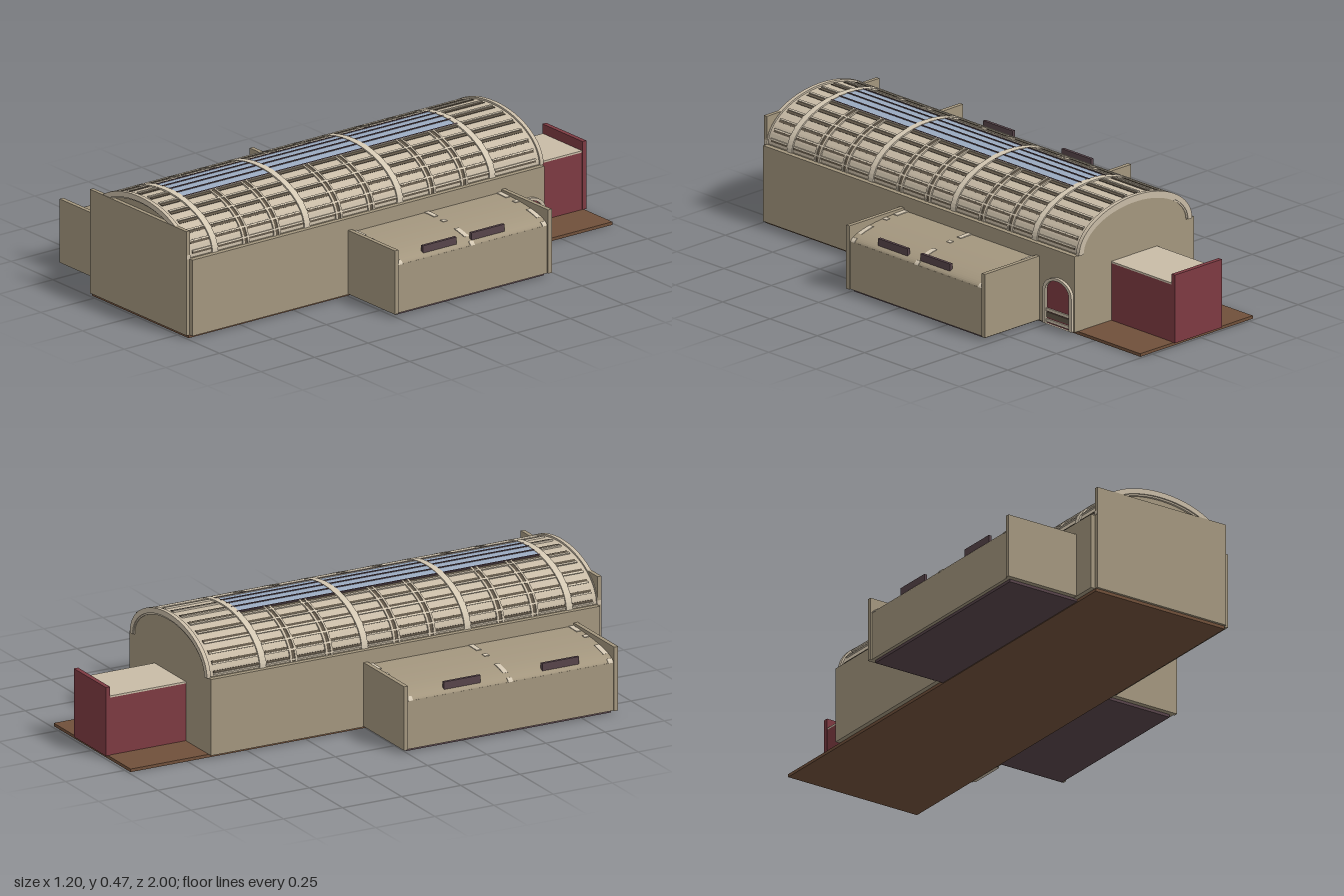
import * as THREE from 'three';

const mat = (name, color) => {
  const m = new THREE.MeshStandardMaterial({ color });
  m.name = name;
  return m;
};

export function createModel() {
  const model = new THREE.Group();
  model.name = 'vaultedHall';
  const tan = mat('tan stone', 0xa3967e);
  const beige = mat('roof beige', 0xc8bba6);
  const light = mat('light rib', 0xd3c7b2);
  const dark = mat('dark slot', 0x5e5446);
  const maroon = mat('maroon', 0x7d3a42);
  const plum = mat('plum', 0x57444a);
  const brown = mat('floor brown', 0x70503a);
  const blue = mat('skylight glass', 0x9aaac0);

  const add = (name, geo, material, parent = model) => {
    const m = new THREE.Mesh(geo, material);
    m.name = name;
    parent.add(m);
    return m;
  };
  // Box given by its low and high corners
  const box = (name, material, x0, x1, y0, y1, z0, z1, parent) => {
    const m = add(name, new THREE.BoxGeometry(Math.abs(x1 - x0), y1 - y0, z1 - z0), material, parent);
    m.position.set((x0 + x1) / 2, (y0 + y1) / 2, (z0 + z1) / 2);
    return m;
  };
  // Elliptical band between angles t0..t1, from offset lo to hi off the curve, along z
  const band = (name, material, e, t0, t1, lo, hi, z0, z1, parent) => {
    const n = Math.max(1, Math.ceil(Math.abs(t1 - t0) / 0.09));
    const pts = [];
    const put = (t, d) => pts.push(new THREE.Vector2(e.x + (e.a + d) * Math.cos(t), e.y + (e.b + d) * Math.sin(t)));
    for (let i = 0; i <= n; i++) put(t0 + (t1 - t0) * i / n, hi);
    for (let i = n; i >= 0; i--) put(t0 + (t1 - t0) * i / n, lo);
    const g = new THREE.ExtrudeGeometry(new THREE.Shape(pts), { depth: z1 - z0, bevelEnabled: false });
    g.translate(0, 0, z0);
    return add(name, g, material, parent);
  };

  // Floor and hall walls
  box('hallFloor', brown, -0.277, 0.302, 0, 0.012, -0.99, 0.99);
  box('hallBody', tan, -0.275, 0.3, 0.012, 0.312, -0.66, 0.985);
  box('sideWallRight', tan, -0.295, -0.27, 0.012, 0.31, -0.66, 0.985);
  box('sideWallLeft', tan, 0.295, 0.32, 0.012, 0.31, -0.66, 0.985);
  box('frontPanel', tan, -0.277, 0.302, 0.012, 0.42, 0.984, 1);

  // Barrel roof
  const roof = new THREE.Group();
  roof.name = 'barrelRoof';
  model.add(roof);
  const E = { x: 0.0125, y: 0.31, a: 0.284, b: 0.158 };
  const PI = Math.PI;
  const vault = new THREE.Shape();
  vault.absellipse(E.x, E.y, E.a - 0.012, E.b - 0.012, 0, PI, false);
  const gableGeo = new THREE.ExtrudeGeometry(vault, { depth: 1.645, bevelEnabled: false, curveSegments: 36 });
  gableGeo.translate(0, 0, -0.662);
  add('gables', gableGeo, tan, roof);
  band('roofShell', beige, E, 0, PI, -0.02, 0, -0.665, 0.992, roof);
  for (const z of [-0.668, 0.982]) band('endRib', beige, E, 0, PI, -0.014, 0.007, z, z + 0.016, roof);

  // Light main ribs, dark cross slots flanked by thin ribs
  const mainZ = [-0.43, 0, 0.435, 0.865];
  for (const z of mainZ) band('mainRib', light, E, 0, PI, -0.003, 0.006, z - 0.013, z + 0.013, roof);
  const half = 0.29;
  const sides = [[0, PI / 2 - half], [PI / 2 + half, PI]];
  for (const z of [-0.3, -0.15, 0.135, 0.285, 0.575, 0.72]) {
    for (const [t0, t1] of sides) {
      band('crossSlot', dark, E, t0, t1, -0.003, 0.003, z - 0.007, z + 0.007, roof);
      for (const d of [-0.011, 0.011]) {
        band('thinRib', beige, E, t0, t1, -0.003, 0.006, z + d - 0.004, z + d + 0.004, roof);
      }
    }
  }

  // Lengthwise slots and battens, broken at the main ribs
  const stops = [-0.652, ...mainZ, 0.982];
  for (let b = 0; b < stops.length - 1; b++) {
    const z0 = stops[b] + 0.015, z1 = stops[b + 1] - 0.015;
    const endBay = b === 0 || b === stops.length - 2;
    for (let k = 0; k < 14; k++) {
      const t = (k + 0.5) * PI / 14;
      if (!endBay && Math.abs(t - PI / 2) < half + 0.03) continue;
      band('lengthSlot', dark, E, t - 0.025, t + 0.025, -0.003, 0.0025, z0, z1, roof);
      band('batten', light, E, t + 0.028, t + 0.06, -0.003, 0.006, z0, z1, roof);
    }
  }

  // Skylights with glazing bars
  for (const [z0, z1] of [[-0.425, -0.013], [0.013, 0.422], [0.45, 0.855]]) {
    band('skylight', blue, E, PI / 2 - half, PI / 2 + half, -0.003, 0.004, z0, z1, roof);
    for (let i = -2; i <= 2; i++) {
      const t = PI / 2 + i * half / 2;
      band('glazingBar', plum, E, t - 0.009, t + 0.009, 0, 0.007, z0, z1, roof);
    }
  }

  // Rear entrance block
  box('entranceBody', maroon, -0.105, 0.13, 0.012, 0.236, -0.985, -0.66);
  box('entranceRoof', beige, -0.105, 0.13, 0.236, 0.243, -0.985, -0.66);
  box('entranceScreen', maroon, -0.108, 0.133, 0.012, 0.28, -1, -0.982);

  // Side wings: s is the side, z0..z1 the length
  const wing = (name, s, inner, z0, z1, windows) => {
    const g = new THREE.Group();
    g.name = name;
    model.add(g);
    box('wingFloor', plum, s * 0.275, s * 0.58, 0.003, 0.016, z0 + 0.02, z1 - 0.02, g);
    box('wingBody', tan, s * (inner - 0.01), s * 0.594, 0.014, 0.202, z0 + 0.008, z1 - 0.008, g);
    for (const z of [z0, z1 - 0.017]) box('endWall', tan, s * (inner - 0.01), s * 0.6, 0.014, 0.264, z, z + 0.017, g);
    const e = { x: s * inner, y: 0.2, a: 0.594 - inner, b: 0.053 };
    const ang = t => (s > 0 ? t : PI - t);
    band('wingRoof', tan, e, ang(0), ang(PI / 2), -0.05, 0, z0 + 0.01, z1 - 0.01, g);
    for (const z of [z0 + 0.03, (z0 + z1) / 2, z1 - 0.03]) {
      for (const [t0, t1] of [[0.05, 0.3], [0.51, 0.86], [1.14, 1.21], [1.35, 1.55]]) {
        band('roofStrap', light, e, ang(t0), ang(t1), -0.002, 0.003, z - 0.01, z + 0.01, g);
      }
    }
    for (const [w0, w1] of windows) box('clerestoryWindow', plum, s * 0.568, s * 0.58, 0.2, 0.245, w0, w1, g);
  };
  wing('leftWing', 1, 0.315, -0.475, 0.258, [[-0.27, -0.115], [-0.045, 0.11]]);
  wing('rightWing', -1, 0.29, -0.015, 0.89, [[0.165, 0.32], [0.58, 0.735]]);

  // Arched side door
  const arch = (w, h, T = THREE.Shape) => {
    const s = new T();
    s.moveTo(-w, 0);
    s.lineTo(w, 0);
    s.lineTo(w, h);
    s.absellipse(0, h, w, w * 0.75, 0, PI, false);
    s.lineTo(-w, 0);
    return s;
  };
  const door = new THREE.Group();
  door.name = 'sideDoor';
  const frame = arch(0.076, 0.133);
  frame.holes.push(arch(0.062, 0.133, THREE.Path));
  add('doorFrame', new THREE.ExtrudeGeometry(frame, { depth: 0.014, bevelEnabled: false }), beige, door);
  add('doorLeaf', new THREE.ExtrudeGeometry(arch(0.064, 0.133), { depth: 0.004, bevelEnabled: false }), maroon, door);
  box('doorBarLow', beige, -0.062, 0.062, 0.006, 0.018, 0, 0.009, door);
  box('doorBarDark', dark, -0.062, 0.062, 0.024, 0.044, 0, 0.007, door);
  box('doorBarHigh', beige, -0.062, 0.062, 0.048, 0.06, 0, 0.009, door);
  door.rotation.y = PI / 2;
  door.position.set(0.318, 0.014, -0.58);
  model.add(door);

  return model;
}
